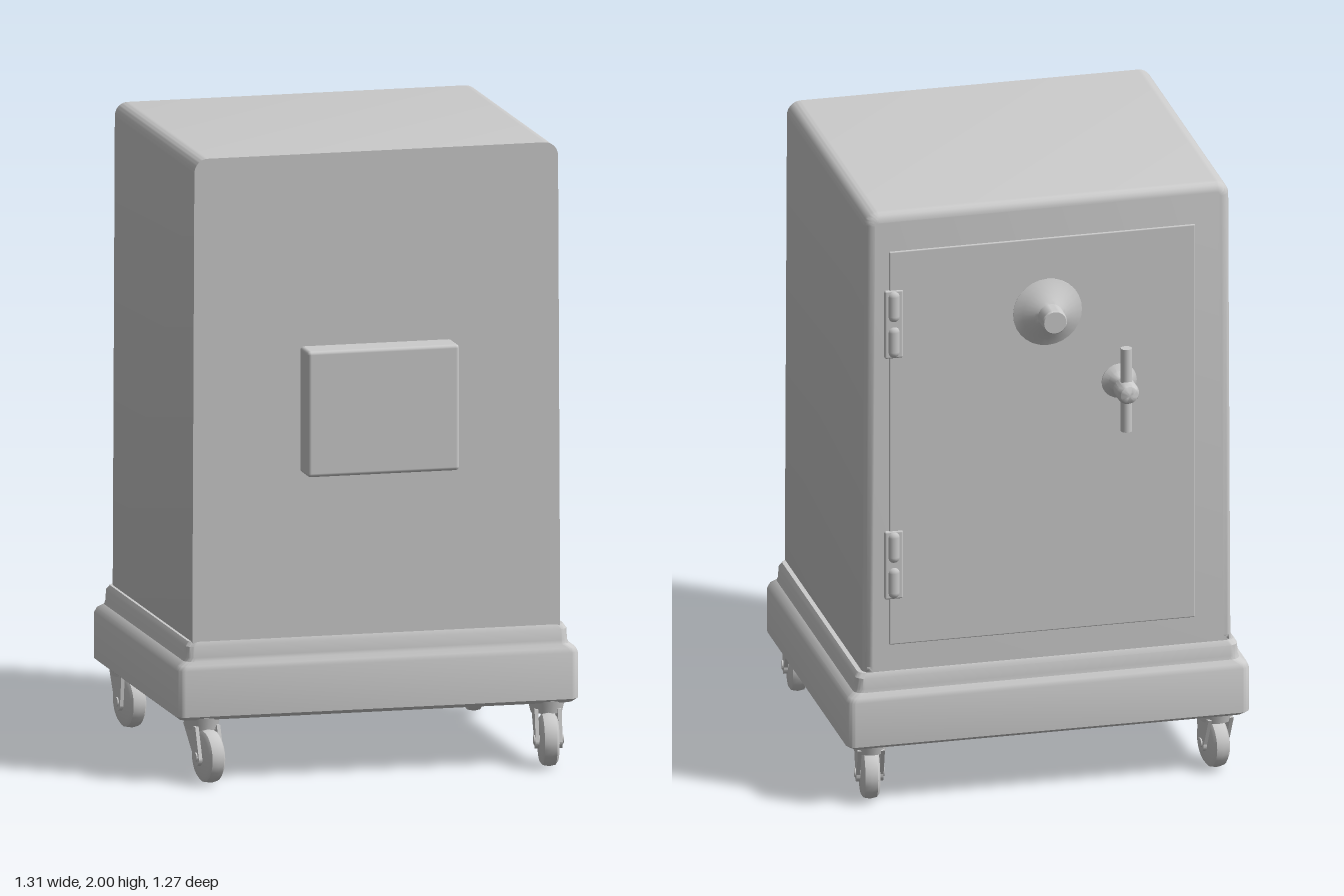
import * as THREE from 'three';
import { toCreasedNormals } from 'three/addons/utils/BufferGeometryUtils.js';
import { RoundedBoxGeometry } from 'three/addons/geometries/RoundedBoxGeometry.js';

const grey = new THREE.MeshStandardMaterial({ color: 0xcccccc });

function add(parent, name, geometry, x = 0, y = 0, z = 0) {
  const mesh = new THREE.Mesh(geometry, grey);
  mesh.name = name;
  mesh.position.set(x, y, z);
  parent.add(mesh);
  return mesh;
}

// Outline with rounded corners, bottom corners optionally of another radius
function roundedRect(x0, y0, x1, y1, r, rb = r) {
  const s = new THREE.Shape();
  s.moveTo(x0 + rb, y0);
  s.lineTo(x1 - rb, y0);
  s.absarc(x1 - rb, y0 + rb, rb, -Math.PI / 2, 0);
  s.absarc(x1 - r, y1 - r, r, 0, Math.PI / 2);
  s.absarc(x0 + r, y1 - r, r, Math.PI / 2, Math.PI);
  s.absarc(x0 + rb, y0 + rb, rb, Math.PI, Math.PI * 1.5);
  return s;
}

// Turned part whose axis points backwards; points are [radius, distance]
function turned(points, segments = 24) {
  const g = new THREE.LatheGeometry(points.map(p => new THREE.Vector2(...p)), segments);
  return toCreasedNormals(g.rotateX(-Math.PI / 2), 0.6);
}

// Cabinet: rounded top and rear edges, flat sharp front, slight taper
function cabinetGeometry() {
  const g = new THREE.ExtrudeGeometry(roundedRect(-0.6, 0.44, 0.6, 2, 0.045, 0.01), {
    depth: 0.99, bevelThickness: 0.03, bevelSize: 0.03, bevelOffset: -0.03,
    bevelSegments: 4, curveSegments: 6,
  });
  g.translate(0, 0, -0.46);
  const p = g.attributes.position;
  for (let i = 0; i < p.count; i++) {
    const taper = 1 - 0.012 * (p.getY(i) - 0.44) / 1.56;
    p.setX(i, p.getX(i) * taper - 0.003);
    p.setZ(i, Math.min(p.getZ(i), 0.53));
  }
  return toCreasedNormals(g, 0.6);
}

// Stepped plinth lofted from rounded rectangles: [half width, front z, back z, y]
function plinthGeometry() {
  const levels = [
    [0.64, 0.54, -0.505, 0.2], [0.655, 0.553, -0.52, 0.212], [0.655, 0.553, -0.52, 0.36],
    [0.648, 0.549, -0.515, 0.375], [0.628, 0.54, -0.502, 0.388], [0.624, 0.538, -0.5, 0.4],
    [0.622, 0.537, -0.499, 0.435], [0.612, 0.53, -0.49, 0.45],
  ];
  const pos = [], idx = [];
  let n = 0;
  for (const [w, f, b, y] of levels) {
    const ring = roundedRect(-w, b, w, f, 0.03).getPoints(5);
    ring.pop();
    n = ring.length;
    ring.forEach(q => pos.push(q.x, y, q.y));
  }
  for (let l = 0; l < levels.length - 1; l++) {
    for (let i = 0; i < n; i++) {
      const a = l * n + i, b = l * n + (i + 1) % n;
      idx.push(a, a + n, b, b, a + n, b + n);
    }
  }
  const top = (levels.length - 1) * n;
  for (let i = 1; i < n - 1; i++) {
    idx.push(0, i, i + 1, top, top + i + 1, top + i);
  }
  const g = new THREE.BufferGeometry();
  g.setAttribute('position', new THREE.Float32BufferAttribute(pos, 3));
  g.setIndex(idx);
  return toCreasedNormals(g, 0.6);
}

// Swivel caster with its pivot under the plinth; trail is the wheel offset in z
function makeCaster(trail) {
  const caster = new THREE.Group();
  caster.name = 'caster';
  add(caster, 'casterSwivel', new THREE.CylinderGeometry(0.06, 0.05, 0.04, 20), 0, 0.185, 0);

  const tyre = [[0.01, -0.028], [0.07, -0.028], [0.081, -0.02], [0.085, 0], [0.081, 0.02], [0.07, 0.028], [0.01, 0.028]];
  const wheel = new THREE.LatheGeometry(tyre.map(p => new THREE.Vector2(...p)), 24);
  wheel.rotateZ(Math.PI / 2);
  add(caster, 'casterWheel', toCreasedNormals(wheel, 0.7), 0, 0.085, trail);

  const axle = new THREE.CylinderGeometry(0.015, 0.015, 0.095, 12).rotateZ(Math.PI / 2);
  add(caster, 'casterAxle', axle, 0, 0.085, trail);

  // Fork cheeks run from the swivel down to the axle
  const cheek = new THREE.Shape();
  cheek.moveTo(-0.05, 0.18);
  cheek.lineTo(trail - 0.024, 0.085);
  cheek.absarc(trail, 0.08, 0.024, Math.PI, Math.PI * 2);
  cheek.lineTo(0.05, 0.18);
  for (const side of [-1, 1]) {
    const g = new THREE.ExtrudeGeometry(cheek, { depth: 0.012, bevelEnabled: false, curveSegments: 8 });
    g.translate(0, 0, -0.006).rotateY(-Math.PI / 2);
    add(caster, 'casterFork', g, side * 0.037, 0, 0);
  }
  return caster;
}

export function createModel() {
  const model = new THREE.Group();
  model.name = 'safeOnCasters';

  add(model, 'cabinet', cabinetGeometry());
  add(model, 'plinth', plinthGeometry());
  add(model, 'frontBox', new RoundedBoxGeometry(0.495, 0.405, 0.125, 2, 0.012), -0.003, 1.18, 0.5625);

  // Door on the rear face
  add(model, 'door', new RoundedBoxGeometry(0.995, 1.33, 0.04, 2, 0.004), 0.017, 1.205, -0.475);

  // Hinges: a leaf and two knuckles each
  for (const y of [1.625, 0.81]) {
    const hinge = new THREE.Group();
    hinge.name = 'hinge';
    hinge.position.set(0.5, y, -0.484);
    add(hinge, 'hingeLeaf', new RoundedBoxGeometry(0.06, 0.23, 0.03, 2, 0.006));
    for (const s of [-1, 1]) {
      add(hinge, 'hingeKnuckle', new THREE.CapsuleGeometry(0.024, 0.066, 6, 14), 0, s * 0.06, 0);
    }
    model.add(hinge);
  }

  // Combination dial
  add(model, 'dial', turned([
    [0, -0.01], [0.115, -0.01], [0.112, 0.008], [0.085, 0.02], [0.052, 0.043],
    [0.042, 0.05], [0.04, 0.102], [0.036, 0.107], [0, 0.107],
  ], 28), 0, 1.62, -0.488);

  // Door handle: flared stem with hub and upright bar
  const handle = new THREE.Group();
  handle.name = 'handle';
  handle.position.set(-0.233, 1.365, -0.488);
  add(handle, 'handleStem', turned([
    [0, -0.01], [0.06, -0.01], [0.057, 0.01], [0.038, 0.022], [0.028, 0.045], [0.026, 0.06],
    [0.036, 0.075], [0.036, 0.122], [0.028, 0.14], [0.012, 0.149], [0, 0.149],
  ], 20));
  add(handle, 'handleBar', new THREE.CylinderGeometry(0.018, 0.018, 0.28, 16), 0, 0.005, -0.1);
  model.add(handle);

  // Casters at the four corners, swivelled slightly
  for (const side of [-1, 1]) {
    for (const [z, trail] of [[0.49, 0.057], [-0.43, 0.015]]) {
      const caster = makeCaster(trail);
      caster.position.set(side * 0.562, 0, z);
      caster.rotation.y = -side * 0.14;
      model.add(caster);
    }
  }
  return model;
}
